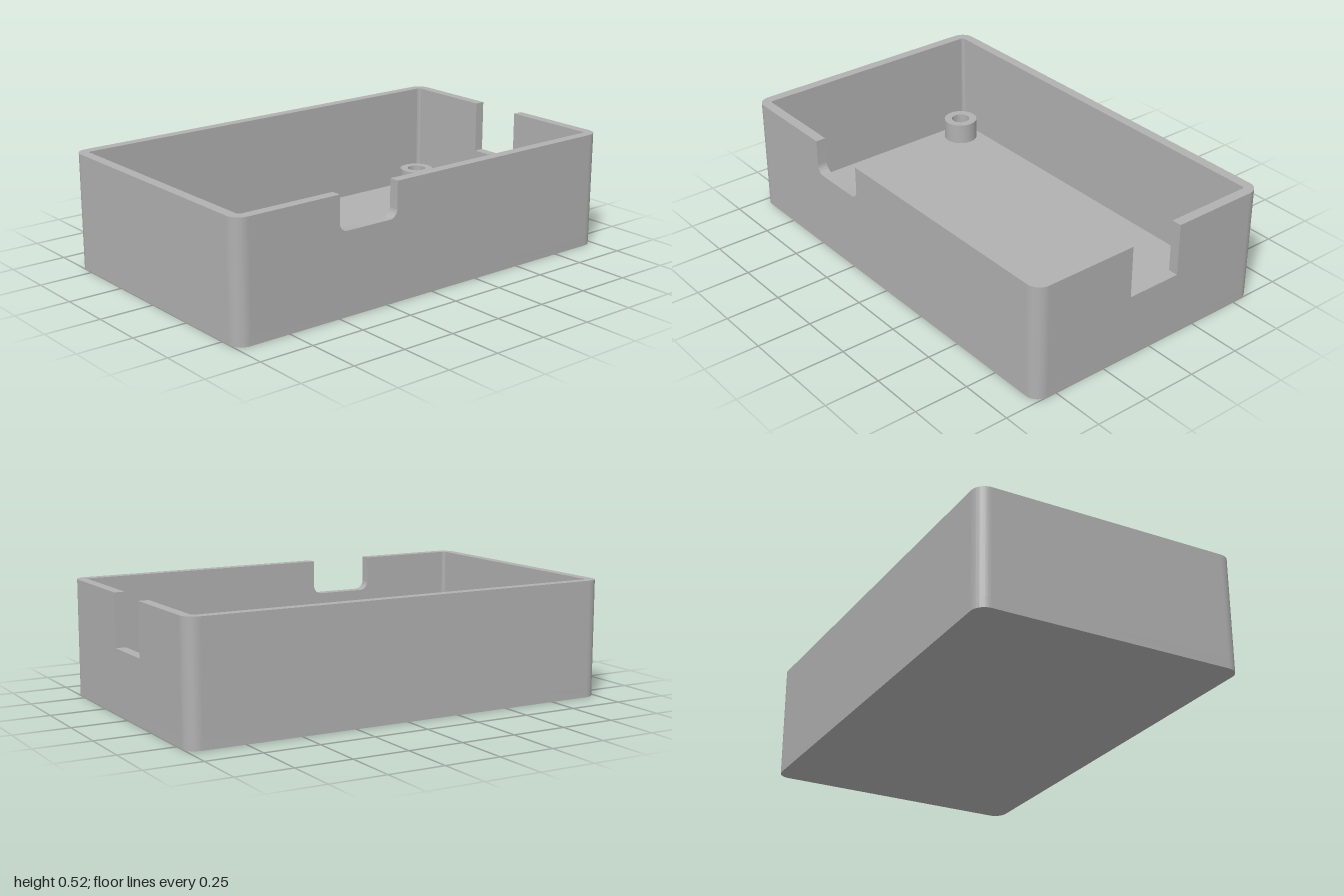
import * as THREE from 'three';
import { toCreasedNormals } from 'three/addons/utils/BufferGeometryUtils.js';

const HX = 1, HZ = 0.605, H = 0.525;   // half length, half depth, height
const T = 0.046, R = 0.06;             // wall thickness, outer corner radius
const CX = HX - R, CZ = HZ - R;        // corner arc centres

export function createModel() {
  const group = new THREE.Group();
  const plastic = new THREE.MeshStandardMaterial({ color: 0xb0b0b0 });
  plastic.name = 'grey plastic';

  const add = (name, geometry) => {
    const mesh = new THREE.Mesh(toCreasedNormals(geometry, 0.6), plastic);
    mesh.name = name;
    group.add(mesh);
    return mesh;
  };

  // Extrudes a plan outline upwards from y0 to y1
  const extrudePlan = (shape, y0, y1) =>
    new THREE.ExtrudeGeometry(shape, { depth: y1 - y0, bevelEnabled: false, curveSegments: 10 })
      .rotateX(-Math.PI / 2).translate(0, y0, 0);

  const corners = [[1, 1], [-1, 1], [-1, -1], [1, -1]];

  // Floor with rounded corners
  const floor = new THREE.Shape();
  corners.forEach(([sx, sy], i) =>
    floor.absarc(sx * CX, sy * CZ, R, i * Math.PI / 2, (i + 1) * Math.PI / 2, false));
  floor.closePath();
  add('floor', extrudePlan(floor, 0, T));

  // Rounded wall corners
  corners.forEach(([sx, sy], i) => {
    const a = i * Math.PI / 2, b = a + Math.PI / 2;
    const arc = new THREE.Shape();
    arc.absarc(sx * CX, sy * CZ, R, a, b, false);
    arc.absarc(sx * CX, sy * CZ, R - T, b, a, true);
    arc.closePath();
    add('wallCorner', extrudePlan(arc, T, H));
  });

  // Straight walls, optionally with a notch open at the rim
  const wall = (name, half, distance, angle, notch) => {
    const s = new THREE.Shape();
    s.moveTo(-half, T);
    s.lineTo(half, T);
    s.lineTo(half, H);
    if (notch) {
      const { x0, x1, y, r } = notch;
      s.lineTo(x1, H);
      if (r) {
        s.absarc(x1 - r, y + r, r, 0, -Math.PI / 2, true);
        s.absarc(x0 + r, y + r, r, -Math.PI / 2, -Math.PI, true);
      } else {
        s.lineTo(x1, y);
        s.lineTo(x0, y);
      }
      s.lineTo(x0, H);
    }
    s.lineTo(-half, H);
    s.closePath();
    const g = new THREE.ExtrudeGeometry(s, { depth: T, bevelEnabled: false, curveSegments: 8 });
    add(name, g.translate(0, 0, distance - T).rotateY(angle));
  };
  wall('frontWall', CX, HZ, 0, { x0: -0.5, x1: -0.2, y: 0.367, r: 0.04 });
  wall('leftWall', CZ, HX, Math.PI / 2, { x0: -0.115, x1: 0.142, y: 0.288, r: 0 });
  wall('backWall', CX, HZ, Math.PI);
  wall('rightWall', CZ, HX, -Math.PI / 2);

  // Hollow screw posts standing on the floor
  const profile = [[0.08, T], [0.08, 0.145], [0.043, 0.145], [0.043, T]]
    .map(([x, y]) => new THREE.Vector2(x, y));
  for (const [sx, sz] of corners) {
    add('screwPost', new THREE.LatheGeometry(profile, 40))
      .position.set(sx * 0.855, 0, sz * 0.462);
  }
  return group;
}
